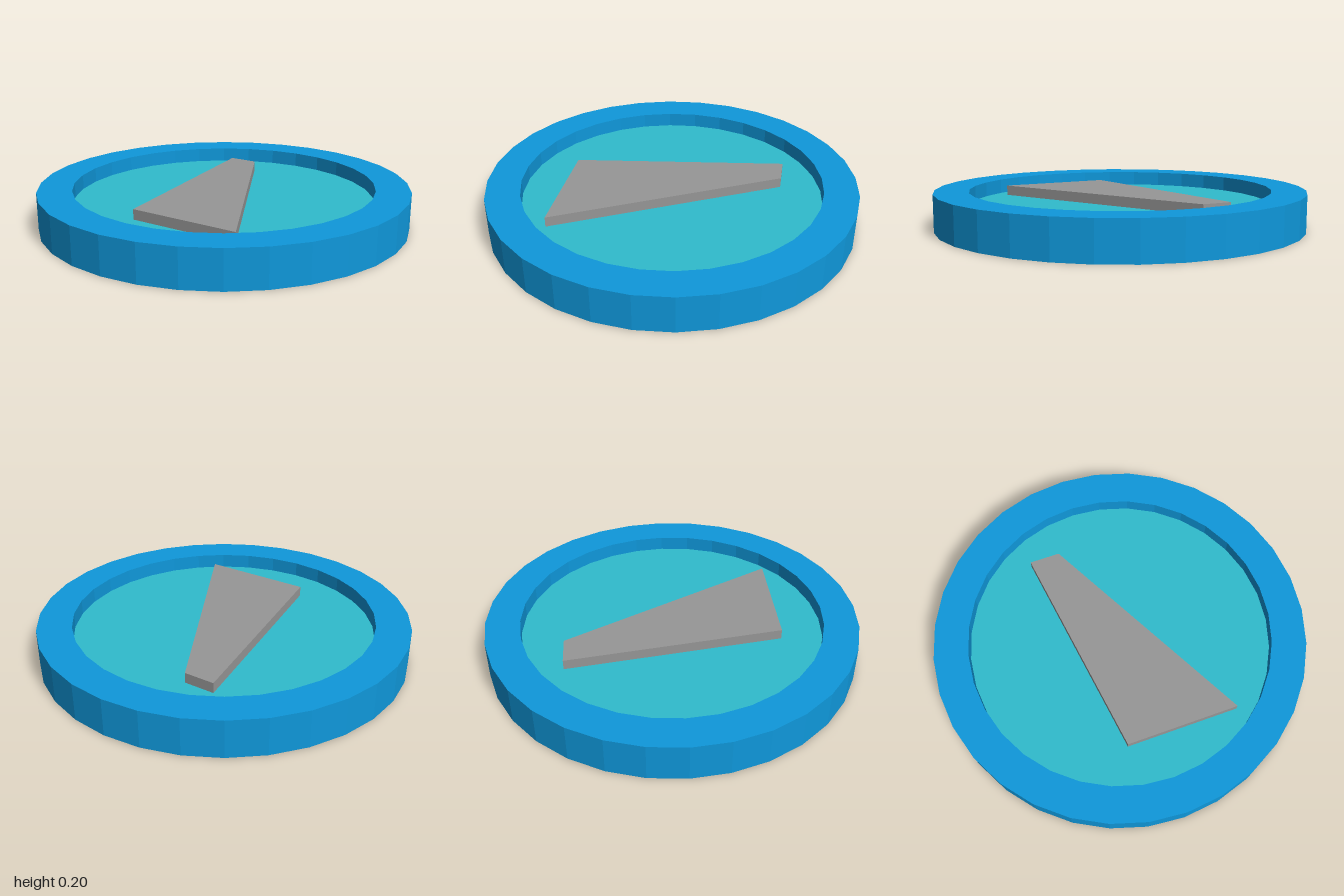
import * as THREE from 'three';

export function createModel() {
  const model = new THREE.Group();
  const material = (name, color) => {
    const m = new THREE.MeshStandardMaterial({ color, flatShading: true });
    m.name = name;
    return m;
  };
  const blue = material('rim blue', 0x0f98db);
  const teal = material('disc teal', 0x30bccd);
  const grey = material('wedge grey', 0x979797);

  const add = (name, geometry, mat, y = 0) => {
    const mesh = new THREE.Mesh(geometry, mat);
    mesh.name = name;
    mesh.position.y = y;
    model.add(mesh);
    return mesh;
  };

  // Rim: the opening is slightly wider on the underside
  const profile = [
    [0.86, 0], [1, 0], [1, 0.2], [0.815, 0.2], [0.815, 0.1], [0.86, 0.1], [0.86, 0],
  ].map(([x, y]) => new THREE.Vector2(x, y));
  add('rim', new THREE.LatheGeometry(profile, 32), blue);

  // Recessed disc, seen from both sides
  add('disc', new THREE.CylinderGeometry(0.87, 0.87, 0.04, 32), teal, 0.1);

  // Raised tapering wedge, laid flat
  const outline = new THREE.Shape([
    [-0.16, -0.575], [0.45, -0.575], [-0.16, 0.58], [-0.325, 0.58],
  ].map(([x, y]) => new THREE.Vector2(x, y)));
  const wedge = new THREE.ExtrudeGeometry(outline, { depth: 0.055, bevelEnabled: false });
  wedge.rotateX(-Math.PI / 2);
  add('upperWedge', wedge, grey, 0.12);

  // The same wedge turned over onto the underside
  add('lowerWedge', wedge, grey, 0.08).rotation.z = Math.PI;

  return model;
}
